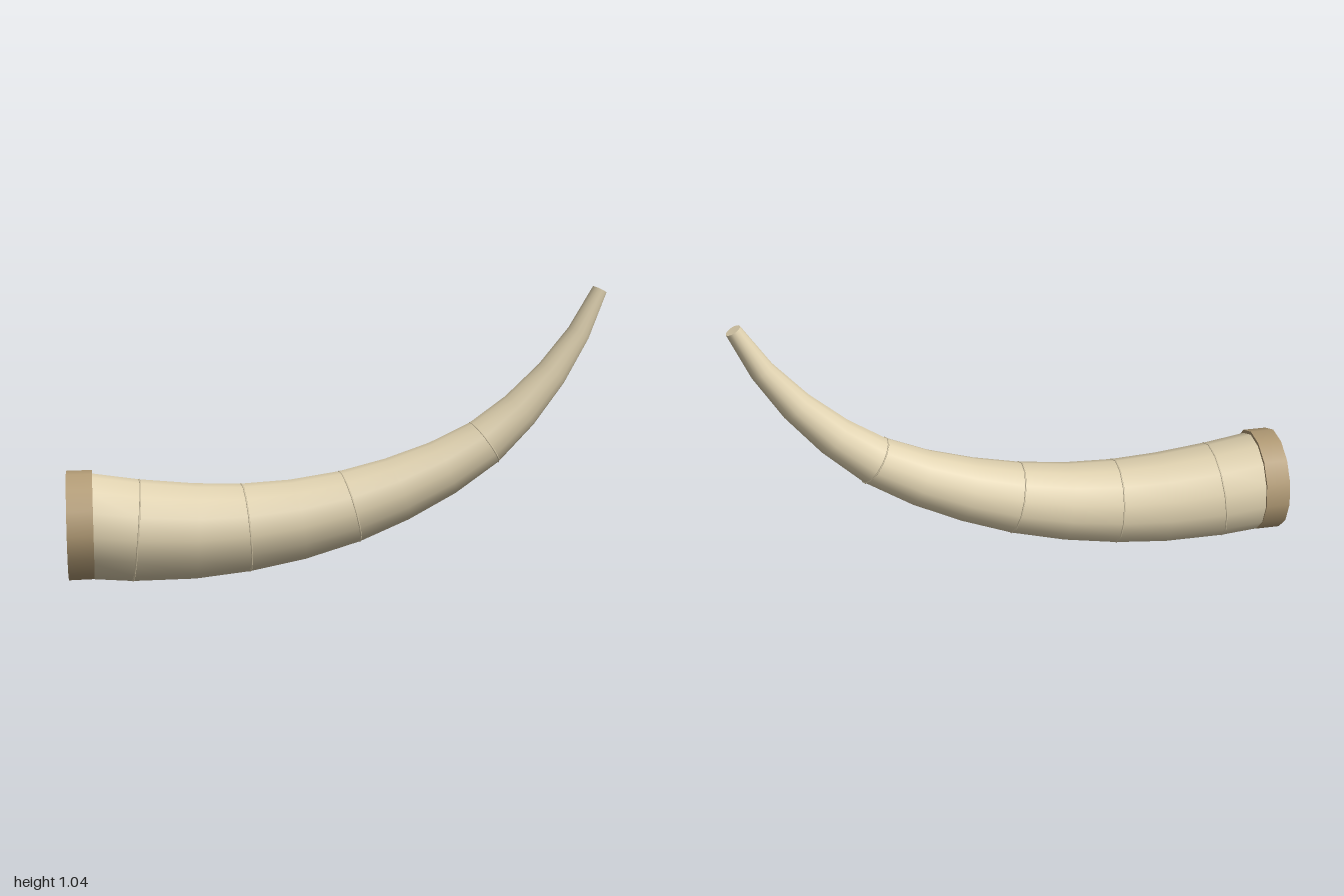
import * as THREE from 'three';

const SIDES = 14;
const Z = new THREE.Vector3(0, 0, 1);

// Rings along the tusk: centre x, centre y, radius
const RINGS = [
  [-0.96, 0.211, 0.188], [-0.76, 0.185, 0.182], [-0.55, 0.173, 0.172], [-0.366, 0.178, 0.16],
  [-0.175, 0.2, 0.148], [0.019, 0.241, 0.135], [0.198, 0.299, 0.121], [0.372, 0.373, 0.106],
  [0.532, 0.465, 0.091], [0.668, 0.582, 0.075], [0.791, 0.719, 0.059], [0.894, 0.869, 0.043],
  [0.973, 1.03, 0.028],
];
const SEAMS = [1, 3, 5, 8];

// Centre, tangent and in-plane normal of one ring
function frame(i) {
  const a = RINGS[Math.max(i - 1, 0)], b = RINGS[Math.min(i + 1, RINGS.length - 1)];
  const tangent = new THREE.Vector3(b[0] - a[0], b[1] - a[1], 0).normalize();
  const normal = new THREE.Vector3(-tangent.y, tangent.x, 0);
  return { centre: new THREE.Vector3(RINGS[i][0], RINGS[i][1], 0), radius: RINGS[i][2], tangent, normal };
}

// Tapered body: smooth round the sides
function tuskGeometry() {
  const pos = [], idx = [];
  RINGS.forEach((_, i) => {
    const f = frame(i);
    for (let k = 0; k < SIDES; k++) {
      const t = (k / SIDES) * Math.PI * 2;
      const p = f.centre.clone()
        .addScaledVector(Z, Math.cos(t) * f.radius)
        .addScaledVector(f.normal, Math.sin(t) * f.radius);
      pos.push(p.x, p.y, p.z);
      if (i > 0) {
        const a = (i - 1) * SIDES + k, b = (i - 1) * SIDES + (k + 1) % SIDES;
        idx.push(a, b, a + SIDES, b, b + SIDES, a + SIDES);
      }
    }
  });
  // Orient faces outward: the (Z, normal) loop runs against the tangent
  for (let i = 0; i < idx.length; i += 3) [idx[i + 1], idx[i + 2]] = [idx[i + 2], idx[i + 1]];
  const g = new THREE.BufferGeometry();
  g.setAttribute('position', new THREE.Float32BufferAttribute(pos, 3));
  g.setIndex(idx);
  g.computeVertexNormals();
  return g;
}

// Place a part built in the XY plane onto a ring, facing along the tusk
function placeOnRing(mesh, i) {
  const f = frame(i);
  mesh.quaternion.setFromRotationMatrix(
    new THREE.Matrix4().makeBasis(Z.clone().negate(), f.normal, f.tangent.clone().negate()
      .multiplyScalar(-1)));
  // Basis (-Z, normal, tangent) is right-handed
  mesh.position.copy(f.centre);
  return mesh;
}

export function createModel() {
  const ivory = new THREE.MeshStandardMaterial({ color: 0xe0d2b0 });
  ivory.name = 'ivory';
  const tan = new THREE.MeshStandardMaterial({ color: 0xb39c76 });
  tan.name = 'tan';

  const model = new THREE.Group();
  model.name = 'tusk';
  const add = (name, mesh) => { mesh.name = name; model.add(mesh); return mesh; };

  add('tuskBody', new THREE.Mesh(tuskGeometry(), ivory));

  // Blunt end
  const last = RINGS.length - 1;
  add('tipCap', placeOnRing(new THREE.Mesh(new THREE.CircleGeometry(RINGS[last][2], SIDES), ivory), last));

  // Fine growth rings
  SEAMS.forEach((i, n) => add(`growthRing${n + 1}`,
    placeOnRing(new THREE.Mesh(new THREE.TorusGeometry(RINGS[i][2], 0.003, 4, SIDES), ivory), i)));

  // Base collar
  const collar = add('baseCollar', new THREE.Mesh(
    new THREE.CylinderGeometry(0.194, 0.194, 0.09, SIDES).rotateZ(Math.PI / 2), tan));
  collar.position.set(-0.955, 0.212, 0);

  return model;
}
